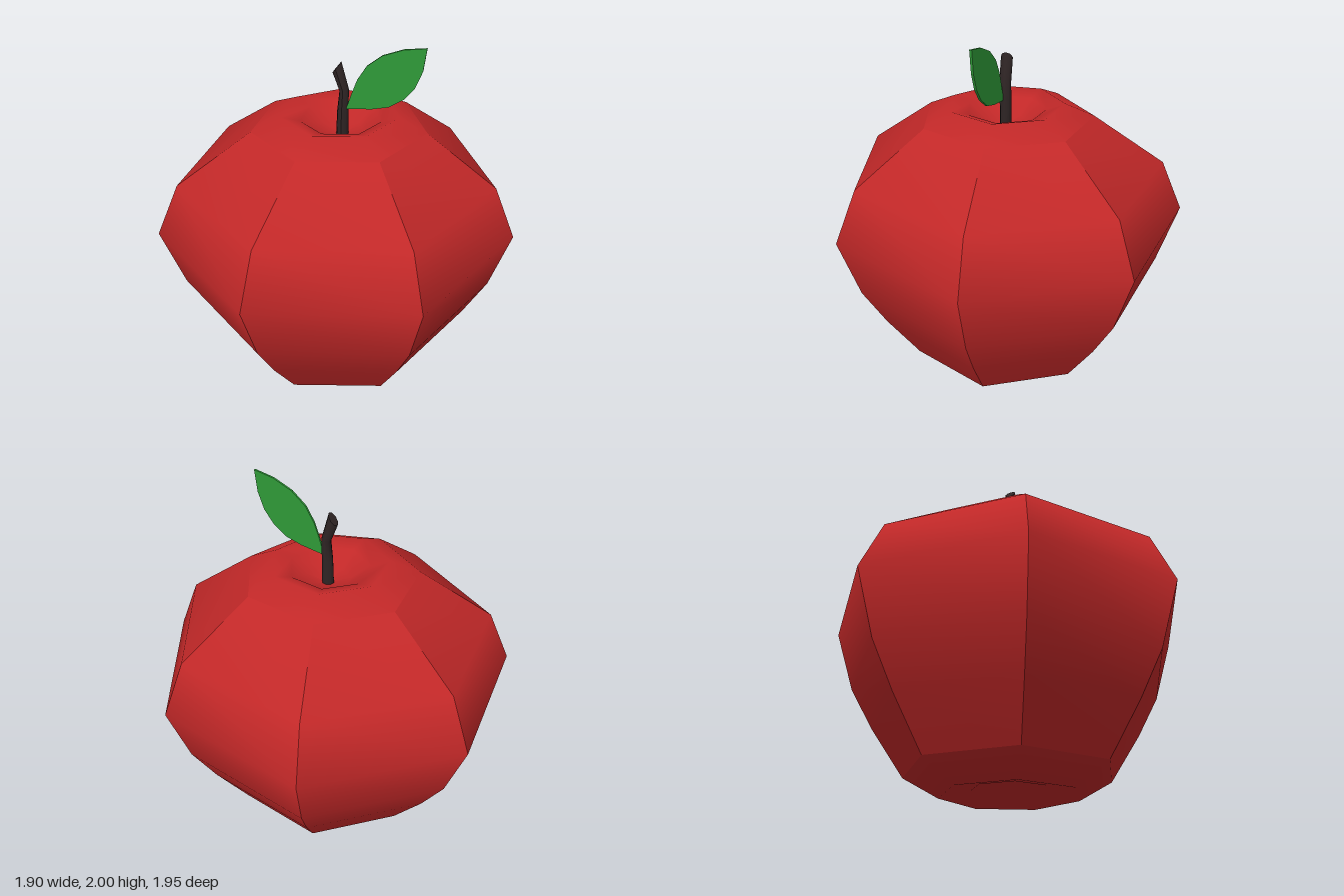
import * as THREE from 'three';

const SIDES = 7;
const STEP = (Math.PI * 2) / SIDES;
const vecs = (pts) => pts.map(([x, y]) => new THREE.Vector2(x, y));

// Apply a rule to every vertex of a geometry
function warp(geo, rule) {
  const p = geo.attributes.position;
  const v = new THREE.Vector3();
  for (let i = 0; i < p.count; i++) {
    v.fromBufferAttribute(p, i);
    rule(v);
    p.setXYZ(i, v.x, v.y, v.z);
  }
  return geo;
}

// The wider rings sit slightly further towards -x
const lean = (v) => { v.x -= 0.014 + 0.036 * Math.hypot(v.x, v.z); };

function turned(profile, segments, start, length) {
  return warp(new THREE.LatheGeometry(vecs(profile), segments, start, length), lean);
}

export function createModel() {
  const red = new THREE.MeshStandardMaterial({ color: 0xc22828 });
  red.name = 'apple red';
  const brown = new THREE.MeshStandardMaterial({ color: 0x2f2525 });
  brown.name = 'stem brown';
  const green = new THREE.MeshStandardMaterial({ color: 0x2f9a38 });
  green.name = 'leaf green';

  const model = new THREE.Group();
  model.name = 'apple';
  const add = (parent, name, geo, mat) => {
    const mesh = new THREE.Mesh(geo, mat);
    mesh.name = name;
    parent.add(mesh);
    return mesh;
  };

  // Body: seven panels, smooth from top to bottom with sharp edges between them
  const body = new THREE.Group();
  body.name = 'body';
  model.add(body);
  const side = [[0.573, 0.11], [0.757, 0.38], [0.889, 0.61], [1, 0.95], [0.873, 1.24], [0.475, 1.52]];
  for (let i = 0; i < SIDES; i++) {
    const panel = turned(side, 1, Math.PI / 2 + i * STEP, STEP);
    panel.computeVertexNormals();
    add(body, 'sidePanel' + (i + 1), panel, red);
  }

  // Smooth crown with the stem hollow, and smooth underside with its dimple
  const crown = [[0.475, 1.52], [0.317, 1.59], [0.22, 1.56], [0.12, 1.49], [0, 1.46]];
  const base = [[0, 0.1], [0.12, 0.08], [0.22, 0.03], [0.379, 0], [0.573, 0.11]];
  add(body, 'crown', turned(crown, SIDES, Math.PI / 2, Math.PI * 2), red);
  add(body, 'underside', turned(base, SIDES, Math.PI / 2, Math.PI * 2), red);

  // Stem: rows of a cylinder moved to [centre x, centre y, radius x, slope of the ring]
  const rows = [[-0.015, 1.45, 0.034, 0], [-0.011, 1.6, 0.031, 0], [-0.004, 1.72, 0.025, 0.3], [-0.042, 1.84, 0.024, 1.3]];
  const stem = warp(new THREE.CylinderGeometry(1, 1, 3, 8, 3), (v) => {
    const [cx, cy, r, slope] = rows[Math.round(v.y + 1.5)];
    v.set(cx + v.x * r, cy + v.x * r * slope, v.z * 0.032);
  });
  stem.computeVertexNormals();
  add(model, 'stem', stem, brown);

  // Leaf: thin pointed blade swung slightly forward
  const outline = new THREE.Shape(vecs([
    [0.01, 1.62], [0.15, 1.64], [0.24, 1.665], [0.32, 1.72], [0.375, 1.79], [0.41, 1.88], [0.425, 2],
    [0.31, 1.98], [0.2, 1.935], [0.12, 1.87], [0.07, 1.79], [0.04, 1.71],
  ]));
  const leaf = warp(
    new THREE.ExtrudeGeometry(outline, { depth: 0.012, bevelEnabled: false }),
    (v) => { v.z += 0.004 + 0.125 * v.x; },
  );
  leaf.computeVertexNormals();
  add(model, 'leaf', leaf, green);

  return model;
}
